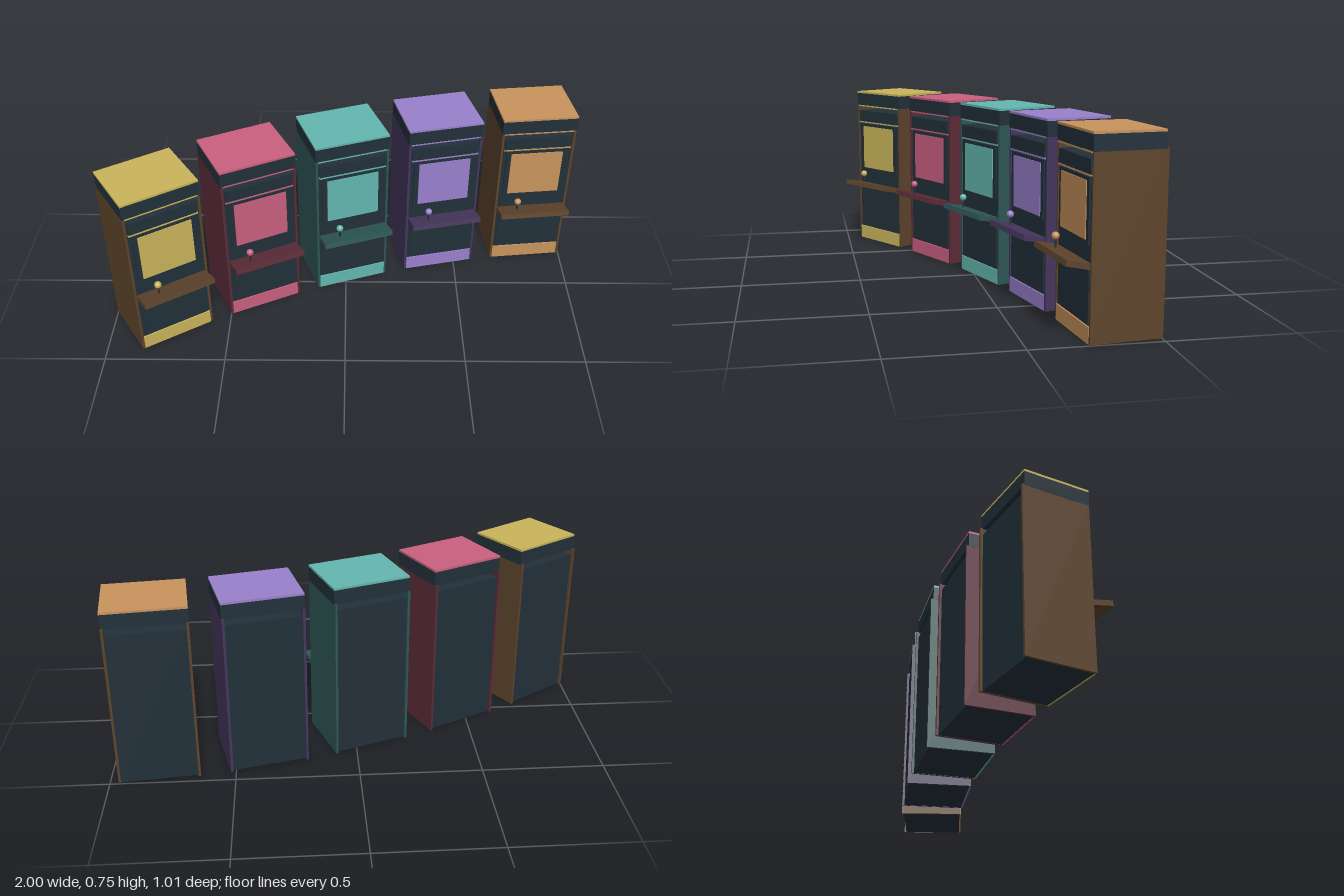
import * as THREE from 'three';

const material = (name, color) => {
  const m = new THREE.MeshStandardMaterial({ color });
  m.name = name;
  return m;
};

const charcoal = material('charcoal', 0x22303a);
const brown = material('brown', 0x5e442c);
const accents = [
  material('yellow', 0xc9b45a),
  material('pink', 0xc9607f),
  material('teal', 0x64b6b0),
  material('purple', 0x9980cc),
  material('orange', 0xc9935c),
];
const sides = [
  brown,
  material('maroon', 0x5c2c38),
  material('deepTeal', 0x2d5654),
  material('deepPurple', 0x45365c),
  brown,
];

// Cabinet proportions
const W = 0.326, T = 0.01, FRONT = 0.141, BACK = -0.141;
const INNER = W - 2 * T;

function createCabinet(accent, side) {
  const cabinet = new THREE.Group();

  // Box given by its width, height range and depth range
  const box = (name, mat, width, y0, y1, z0, z1, x = 0) => {
    const mesh = new THREE.Mesh(new THREE.BoxGeometry(width, y1 - y0, z1 - z0), mat);
    mesh.position.set(x, (y0 + y1) / 2, (z0 + z1) / 2);
    mesh.name = name;
    cabinet.add(mesh);
    return mesh;
  };

  // Core and side panels
  box('body', charcoal, INNER, 0.001, 0.652, BACK + 0.01, FRONT - 0.005);
  for (const s of [-1, 1]) {
    box(s < 0 ? 'rightSidePanel' : 'leftSidePanel', side, T, 0, 0.681, BACK, FRONT, s * (W - T) / 2);
  }

  // Header and coloured roof, with an open slot left below
  box('header', charcoal, W + 0.001, 0.678, 0.738, BACK + 0.01, FRONT + 0.001);
  box('roof', accent, W + 0.001, 0.738, 0.747, BACK + 0.01, FRONT + 0.001);
  box('headerTrim', accent, INNER, 0.673, 0.679, FRONT - 0.006, FRONT + 0.002);

  // Front face
  box('kickPlate', accent, INNER, 0, 0.062, FRONT - 0.006, FRONT + 0.001);
  box('lowerDoor', charcoal, INNER - 0.025, 0.066, 0.262, FRONT - 0.006, FRONT);
  box('marquee', charcoal, INNER - 0.015, 0.598, 0.651, FRONT - 0.006, FRONT + 0.002);
  box('marqueeTrim', accent, INNER - 0.01, 0.592, 0.598, FRONT - 0.006, FRONT + 0.004);
  box('screenBezel', charcoal, 0.272, 0.353, 0.588, FRONT - 0.006, FRONT + 0.002);
  box('screen', accent, 0.23, 0.367, 0.575, FRONT, FRONT + 0.005);

  // Control shelf, rising towards its front edge
  const shelf = box('controlShelf', side, 0.308, 0.278, 0.3, FRONT - 0.003, FRONT + 0.091);
  shelf.rotation.x = -0.21;

  // Joystick
  const stick = new THREE.Mesh(new THREE.CylinderGeometry(0.004, 0.004, 0.045, 8), charcoal);
  stick.position.set(-0.072, 0.316, 0.18);
  stick.name = 'joystickShaft';
  const ball = new THREE.Mesh(new THREE.SphereGeometry(0.015, 16, 12), accent);
  ball.position.set(-0.072, 0.343, 0.18);
  ball.name = 'joystickBall';
  cabinet.add(stick, ball);

  return cabinet;
}

export function createModel() {
  const model = new THREE.Group();
  model.name = 'cabinetRow';

  // Cabinets stand on an arc, all facing its centre
  const R = 3.77, CX = 1.252, CZ = 3.4;
  accents.forEach((accent, i) => {
    const angle = THREE.MathUtils.degToRad(32.8 - 6.55 * i);
    const cabinet = createCabinet(accent, sides[i]);
    cabinet.name = accent.name + 'Cabinet';
    cabinet.position.set(CX - R * Math.sin(angle), 0, CZ - R * Math.cos(angle));
    cabinet.rotation.y = angle;
    model.add(cabinet);
  });
  return model;
}
